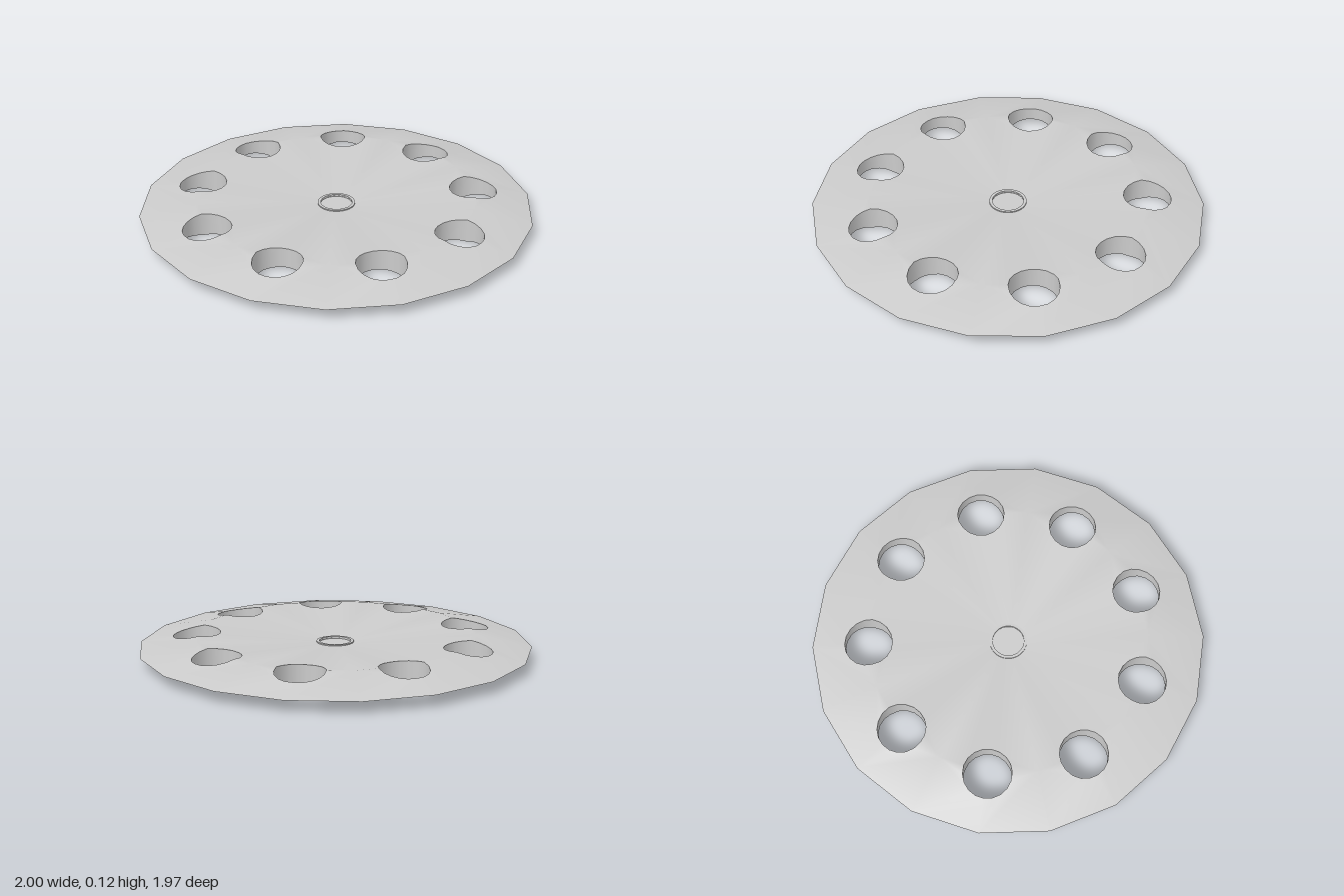
import * as THREE from 'three';
import { mergeGeometries, mergeVertices, toCreasedNormals } from 'three/addons/utils/BufferGeometryUtils.js';

const RIM = 1, SHOULDER = 0.71, HOLE = 0.122;  // radii
const HUB = 0.095, BORE = 0.08;                // hub ring radii
const HALF = 0.06, CORE = 0.006;               // half thickness at shoulder and centre
const STEP = Math.PI / 9;                      // 20 degrees: 18 rim sides, 9 holes
const holeAngles = Array.from({ length: 9 }, (_, i) => (2 * i + 1) * STEP);

const polar = (r, a) => new THREE.Vector2(r * Math.cos(a), r * Math.sin(a));

// Height above the mid plane: dished centre, then a faceted bevel to a sharp rim
function height(x, z) {
  const a = Math.atan2(z, x);
  const local = a - (Math.floor(a / STEP) + 0.5) * STEP;
  const d = Math.hypot(x, z) * Math.cos(local) / Math.cos(STEP / 2);
  return d < SHOULDER
    ? THREE.MathUtils.lerp(CORE, HALF, d / SHOULDER)
    : HALF * Math.max(0, (RIM - d) / (RIM - SHOULDER));
}

// Points on the hole at angle a, from local step i0 to i1 (20 degrees each)
function holeArc(a, i0, i1) {
  const c = polar(SHOULDER, a), pts = [], dir = Math.sign(i1 - i0);
  for (let i = i0; i !== i1 + dir; i += dir) pts.push(c.clone().add(polar(HOLE, a + i * STEP)));
  return pts;
}

// One face: a dish facet and a bevel facet on each side of every hole
function faceGeometry() {
  const facets = [];
  for (const a of holeAngles) {
    for (const d of [1, -1]) {
      const b = a + d * STEP;
      facets.push(
        new THREE.Shape([polar(BORE, a), ...holeArc(a, 9 * d, 5 * d), polar(SHOULDER, b), polar(BORE, b)]),
        new THREE.Shape([polar(RIM, a), polar(RIM, b), polar(SHOULDER, b), ...holeArc(a, 5 * d, 0)])
      );
    }
  }
  let g = mergeGeometries(facets.map(s => new THREE.ShapeGeometry(s)));
  g.rotateX(-Math.PI / 2);
  g.deleteAttribute('uv');
  g.deleteAttribute('normal');
  const p = g.attributes.position;
  for (let i = 0; i < p.count; i++) p.setY(i, height(p.getX(i), p.getZ(i)));
  g = mergeVertices(g, 1e-4);
  g.computeVertexNormals();
  return g;
}

// Wall of one hole, trimmed to the disc surface at both ends
function holeWallGeometry(a) {
  const g = new THREE.CylinderGeometry(HOLE, HOLE, 2, 18, 1, true);
  g.rotateY(a + Math.PI / 2);
  const c = polar(SHOULDER, a);
  g.translate(c.x, 0, -c.y);
  const p = g.attributes.position;
  for (let i = 0; i < p.count; i++) {
    p.setY(i, Math.sign(p.getY(i)) * height(p.getX(i), p.getZ(i)));
  }
  return g;
}

export function createModel() {
  const model = new THREE.Group();
  model.name = 'perforatedDisc';
  const grey = new THREE.MeshStandardMaterial({ color: 0xcccccc });
  const greyDouble = new THREE.MeshStandardMaterial({ color: 0xcccccc, side: THREE.DoubleSide });

  const face = faceGeometry();
  // Low raised ring around a shallow closed bore
  const hub = toCreasedNormals(new THREE.LatheGeometry([
    new THREE.Vector2(HUB, 0.01), new THREE.Vector2(HUB, 0.019),
    new THREE.Vector2(BORE, 0.019), new THREE.Vector2(BORE, 0.008),
    new THREE.Vector2(0, 0.008),
  ], 36), 0.6);

  for (const side of ['top', 'bottom']) {
    const half = new THREE.Group();
    half.name = side + 'Half';
    const faceMesh = new THREE.Mesh(face, grey);
    faceMesh.name = side + 'Face';
    const hubMesh = new THREE.Mesh(hub, greyDouble);
    hubMesh.name = side + 'Hub';
    half.add(faceMesh, hubMesh);
    half.position.y = HALF;
    if (side === 'bottom') half.rotation.x = Math.PI;
    model.add(half);
  }

  holeAngles.forEach((a, i) => {
    const wall = new THREE.Mesh(holeWallGeometry(a), greyDouble);
    wall.name = 'holeWall' + (i + 1);
    wall.position.y = HALF;
    model.add(wall);
  });
  return model;
}
